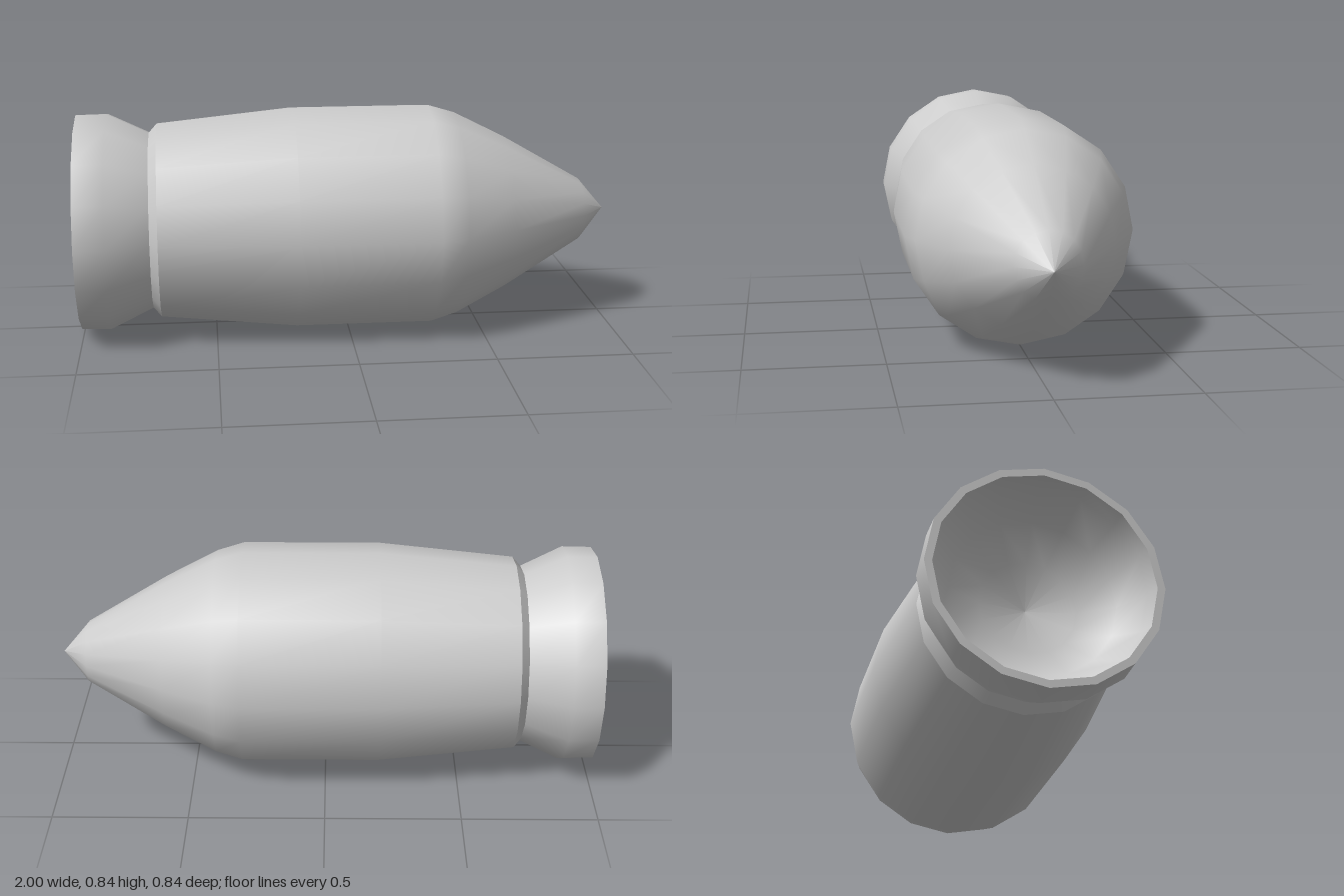
import * as THREE from 'three';

const SIDES = 16;
const RADIUS = 0.418;

export function createModel() {
  const group = new THREE.Group();
  const material = new THREE.MeshStandardMaterial({ color: 0xcccccc });

  // Each part is a turned profile of [position along the axis, radius]
  const turned = (name, profile) => {
    const points = profile.map(([along, radius]) => new THREE.Vector2(radius, along));
    const geometry = new THREE.LatheGeometry(points, SIDES);
    geometry.rotateZ(-Math.PI / 2); // axis points to +x
    geometry.translate(0, RADIUS, 0);
    const mesh = new THREE.Mesh(geometry, material);
    mesh.name = name;
    group.add(mesh);
  };

  // Hollow base, from its centre out to the rim
  turned('baseHollow', [[-0.74, 0], [-0.77, 0.17], [-0.84, 0.29], [-0.95, 0.365], [-1, 0.378]]);
  // Flat ring at the back end
  turned('baseRim', [[-1, 0.378], [-1, 0.405]]);
  // Flared collar narrowing to the groove
  turned('collar', [[-1, 0.405], [-0.89, 0.407], [-0.735, 0.333]]);
  // Short step out of the groove
  turned('grooveStep', [[-0.735, 0.333], [-0.705, 0.367]]);
  // Body swelling to full width, then tapering to the blunt tip
  turned('body', [
    [-0.705, 0.367], [-0.2, RADIUS], [0.31, RADIUS], [0.41, 0.388],
    [0.6, 0.292], [0.9, 0.118], [1, 0],
  ]);

  return group;
}
